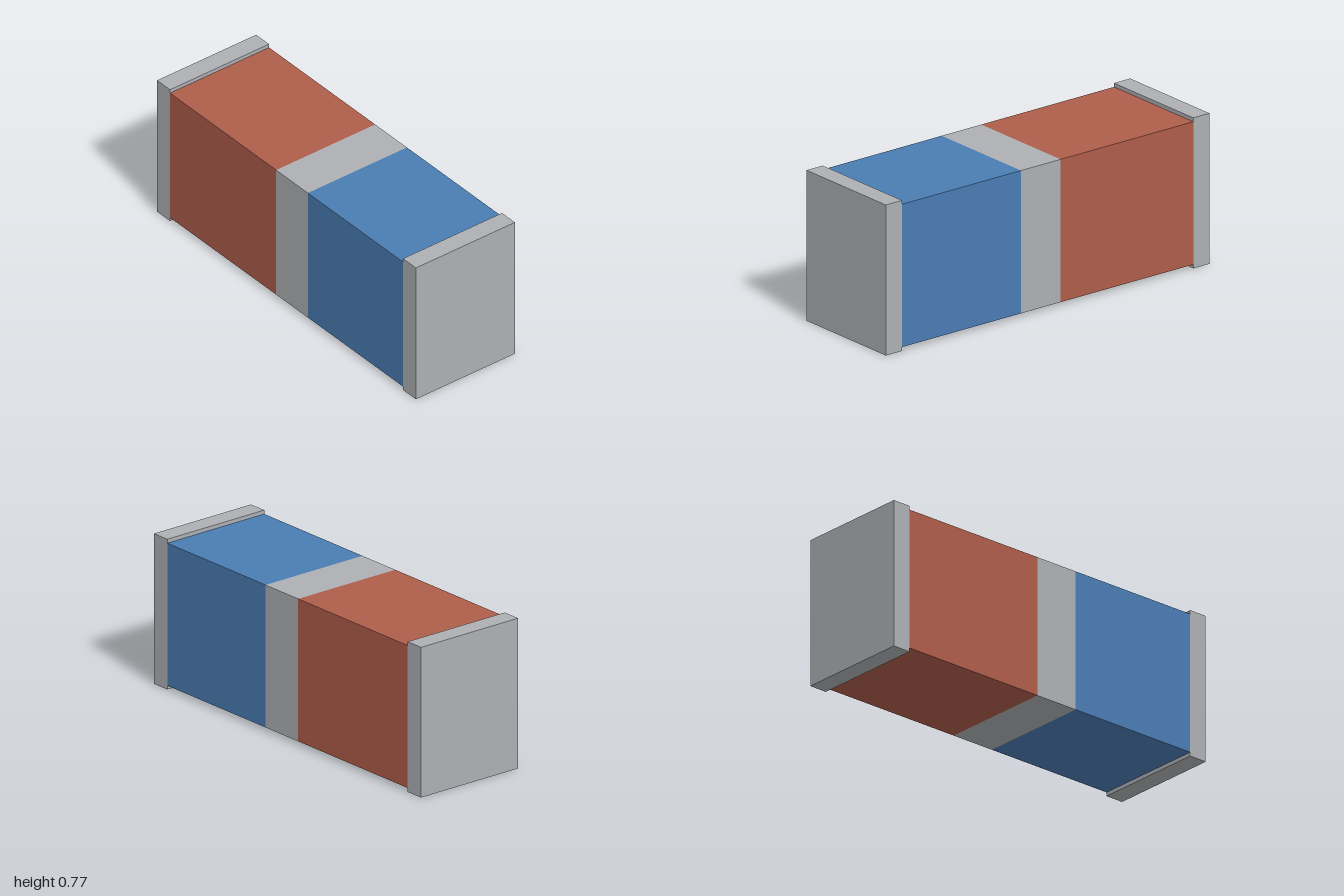
import * as THREE from 'three';

const DEPTH = 0.61;
const HEIGHT = 0.775;
const BODY_HEIGHT = 0.735;

export function createModel() {
  const model = new THREE.Group();
  model.name = 'bandedBlock';

  const grey = new THREE.MeshStandardMaterial({ name: 'light grey', color: 0xadb0b4 });
  const red = new THREE.MeshStandardMaterial({ name: 'brick red', color: 0xae5d4a });
  const blue = new THREE.MeshStandardMaterial({ name: 'steel blue', color: 0x4a7cb3 });

  // One block spanning x0..x1, centred on the common axis
  const addBlock = (name, x0, x1, height, material) => {
    const block = new THREE.Mesh(new THREE.BoxGeometry(x1 - x0, height, DEPTH), material);
    block.name = name;
    block.position.set((x0 + x1) / 2, HEIGHT / 2, 0);
    model.add(block);
  };

  // Taller caps at both ends
  addBlock('rightEndPlate', -1, -0.9, HEIGHT, grey);
  addBlock('leftEndPlate', 0.9, 1, HEIGHT, grey);

  // Body sections between the caps
  addBlock('redSection', -0.9, -0.08, BODY_HEIGHT, red);
  addBlock('middleBand', -0.08, 0.165, BODY_HEIGHT, grey);
  addBlock('blueSection', 0.165, 0.9, BODY_HEIGHT, blue);

  return model;
}
